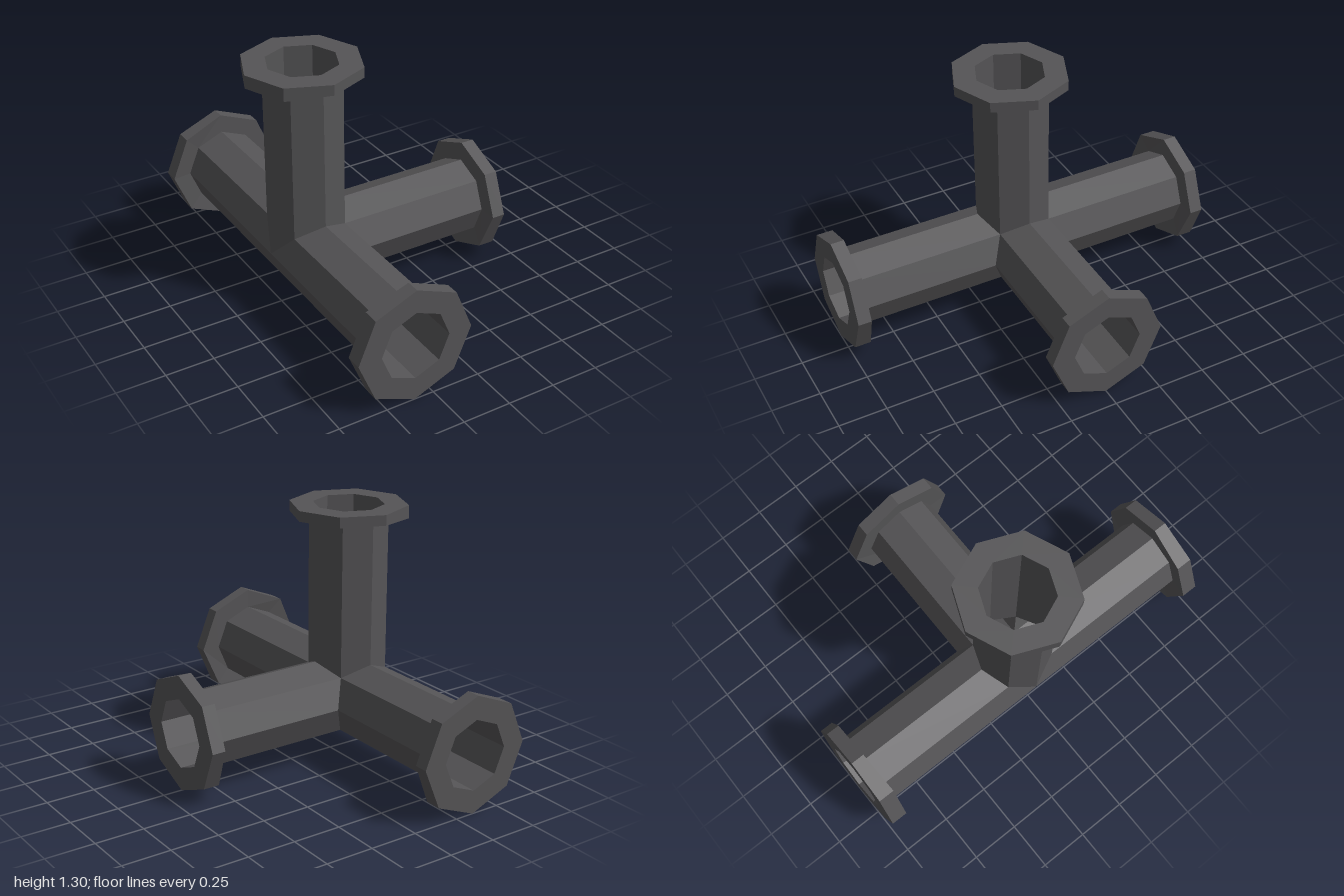
import * as THREE from 'three';

const SIDES = 8, PIPE_R = 0.2, BORE_R = 0.18, FLANGE_R = 0.3, LENGTH = 1;

// Four arms leave the hub; "thick" is the thickness of the end flange.
const V = (x, y, z) => new THREE.Vector3(x, y, z);
const ARMS = [
  { name: 'frontArm', dir: V(0, 0, 1), thick: 0.07 },
  { name: 'backArm', dir: V(0, 0, -1), thick: 0.07 },
  { name: 'leftArm', dir: V(1, 0, 0), thick: 0.07 },
  { name: 'topArm', dir: V(0, 1, 0), thick: 0.053 },
];
// Directions without an arm, where the flanges are a little thicker.
const OPEN_SIDES = [V(-1, 0, 0), V(0, -1, 0)];

// Octagonal ring around an arm; depth(p) gives each corner's distance along it.
function ring(dir, radius, depth) {
  const u = Math.abs(dir.y) > 0.5 ? V(1, 0, 0) : V(0, 1, 0);
  const v = dir.clone().cross(u);
  return Array.from({ length: SIDES }, (_, i) => {
    const a = (i / SIDES) * Math.PI * 2;
    const p = u.clone().multiplyScalar(Math.cos(a) * radius).addScaledVector(v, Math.sin(a) * radius);
    return p.addScaledVector(dir, depth(p));
  });
}

// Flat-shaded skin between successive rings.
function loft(name, rings, material) {
  const pts = [];
  for (let s = 0; s < rings.length - 1; s++) {
    for (let i = 0; i < SIDES; i++) {
      const j = (i + 1) % SIDES;
      const [a, b, c, d] = [rings[s][i], rings[s][j], rings[s + 1][j], rings[s + 1][i]];
      pts.push(a, b, c, a, c, d);
    }
  }
  const geometry = new THREE.BufferGeometry().setFromPoints(pts);
  geometry.computeVertexNormals();
  const mesh = new THREE.Mesh(geometry, material);
  mesh.name = name;
  return mesh;
}

export function createModel() {
  const model = new THREE.Group();
  model.name = 'pipeJunction';
  const iron = new THREE.MeshStandardMaterial({ color: 0x555456 });
  iron.name = 'darkIron';

  for (const { name, dir, thick } of ARMS) {
    const arm = new THREE.Group();
    arm.name = name;

    // Mitre against the neighbouring arms, so the bores stay open at the hub.
    const others = ARMS.filter((o) => Math.abs(o.dir.dot(dir)) < 0.5);
    const mitre = (p) => Math.max(0, ...others.map((o) => o.dir.dot(p)));
    const end = () => LENGTH;
    const seat = () => LENGTH - thick;
    const flangeBack = (p) =>
      LENGTH - thick - (OPEN_SIDES.some((o) => o.dot(p) > 0.01) ? 0.014 : 0);

    arm.add(
      loft('pipe', [ring(dir, PIPE_R, mitre), ring(dir, PIPE_R, seat)], iron),
      loft('flange', [
        ring(dir, PIPE_R, seat),
        ring(dir, FLANGE_R, flangeBack),
        ring(dir, FLANGE_R, end),
        ring(dir, BORE_R, end),
      ], iron),
      loft('bore', [ring(dir, BORE_R, end), ring(dir, BORE_R, mitre)], iron),
    );
    model.add(arm);
  }

  // Hub centre sits off to the right so the whole piece is centred.
  for (const arm of model.children) arm.position.set(-0.35, 0.3, 0);
  return model;
}
